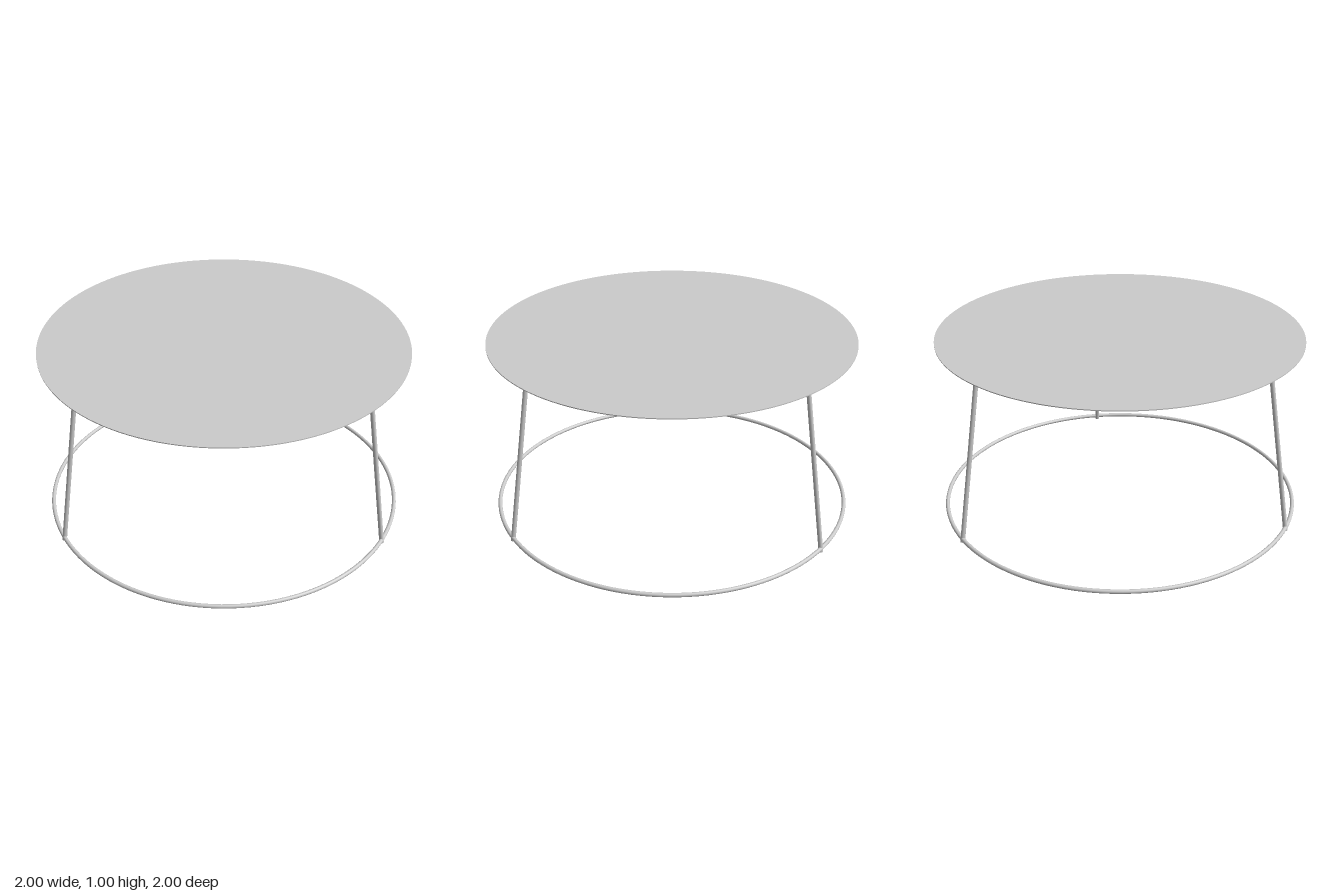
import * as THREE from 'three';

const material = new THREE.MeshStandardMaterial({ color: 0xcccccc });

function addMesh(group, name, geometry) {
  const mesh = new THREE.Mesh(geometry, material);
  mesh.name = name;
  group.add(mesh);
  return mesh;
}

// Horizontal ring of round bar
function addRing(group, name, radius, bar, y) {
  const ring = addMesh(group, name, new THREE.TorusGeometry(radius, bar, 12, 128));
  ring.rotation.x = Math.PI / 2;
  ring.position.y = y;
}

// Straight round bar between two points
function addBar(group, name, from, to, radius) {
  const dir = to.clone().sub(from);
  const bar = addMesh(group, name, new THREE.CylinderGeometry(radius, radius, dir.length(), 16));
  bar.position.copy(from).add(to).multiplyScalar(0.5);
  bar.quaternion.setFromUnitVectors(new THREE.Vector3(0, 1, 0), dir.normalize());
}

export function createModel() {
  const table = new THREE.Group();
  table.name = 'roundTable';

  // Thin round top
  addMesh(table, 'tableTop', new THREE.CylinderGeometry(0.985, 0.985, 0.005, 128)).position.y = 1.003;

  // Support ring under the top and larger ring on the floor
  addRing(table, 'upperRing', 0.828, 0.012, 0.978);
  addRing(table, 'floorRing', 0.987, 0.011, 0.022);

  // Three legs splaying outwards
  const names = ['frontLeg', 'sideLeg', 'backLeg'];
  [67.8, 191, 315].forEach((degrees, i) => {
    const a = THREE.MathUtils.degToRad(degrees);
    const at = (r, y) => new THREE.Vector3(r * Math.cos(a), y, r * Math.sin(a));
    addBar(table, names[i], at(0.987, 0.003), at(0.834, 0.982), 0.0125);
  });

  return table;
}
